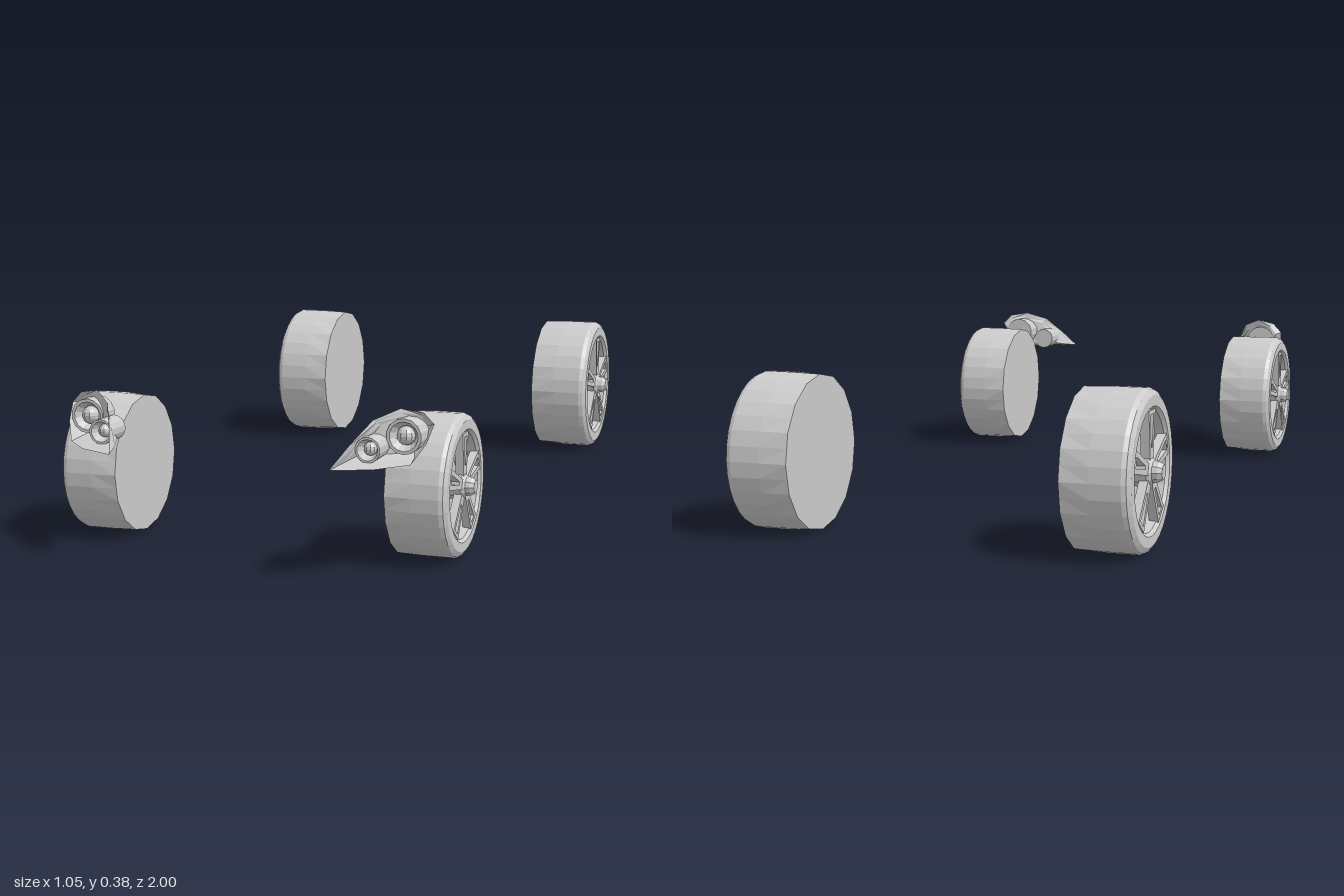
import * as THREE from 'three';

const grey = new THREE.MeshStandardMaterial({ color: 0xcccccc, flatShading: true });
const greyThin = new THREE.MeshStandardMaterial({ color: 0xcccccc, flatShading: true, side: THREE.DoubleSide });

function add(parent, name, geometry, material = grey) {
  const mesh = new THREE.Mesh(geometry, material);
  mesh.name = name;
  parent.add(mesh);
  return mesh;
}

// Lathe of [radius, distance] pairs
const lathe = (pairs, sides) =>
  new THREE.LatheGeometry(pairs.map(([r, a]) => new THREE.Vector2(r, a)), sides);

// Lathe whose axis runs along +x
const latheX = (pairs, sides) => lathe(pairs, sides).rotateZ(-Math.PI / 2);

// Wheel with its closed inner face at x = 0 and its spoked face towards +x
function makeWheel(name) {
  const wheel = new THREE.Group();
  wheel.name = name;

  // Tyre and rim well; the inner edge has half as many corners as the tread
  const profile = [[0, 0], [0.19, 0], [0.192, 0.07], [0.192, 0.145], [0.187, 0.156], [0.175, 0.164],
    [0.15, 0.164], [0.142, 0.156], [0.138, 0.105], [0, 0.105]];
  const sides = 32;
  const tyre = latheX(profile, sides);
  const pos = tyre.attributes.position;
  const pull = Math.cos(Math.PI / 16);
  for (let i = 1; i <= sides; i += 2) {
    const k = i * profile.length + 1;
    pos.setXYZ(k, pos.getX(k), pos.getY(k) * pull, pos.getZ(k) * pull);
  }
  add(wheel, 'tyre', tyre);

  // Brake disc and caliper behind the spokes
  add(wheel, 'brakeDisc', latheX([[0.105, 0.1], [0.105, 0.116], [0, 0.116]], 24));
  const arc = new THREE.Shape();
  arc.absarc(0, 0, 0.118, 0, 0.75, false);
  arc.absarc(0, 0, 0.075, 0.75, 0, true);
  add(wheel, 'brakeCaliper',
    new THREE.ExtrudeGeometry(arc, { depth: 0.028, bevelEnabled: false, curveSegments: 5 })
      .rotateY(Math.PI / 2).translate(0.105, 0, 0));

  // Five split spokes
  const outline = [[-0.013, 0.02], [0.013, 0.02], [0.027, 0.142], [-0.027, 0.142]];
  const slot = [[-0.004, 0.055], [-0.013, 0.132], [0.013, 0.132], [0.004, 0.055]];
  const toPoints = list => list.map(([x, y]) => new THREE.Vector2(x, y));
  const shape = new THREE.Shape(toPoints(outline));
  shape.holes.push(new THREE.Path(toPoints(slot)));
  const spoke = new THREE.ExtrudeGeometry(shape, { depth: 0.022, bevelEnabled: false })
    .rotateY(Math.PI / 2).translate(0.14, 0, 0);
  for (let i = 0; i < 5; i++) {
    add(wheel, 'spoke', spoke).rotation.x = (i * 2 * Math.PI) / 5;
  }

  // Hub and cap
  add(wheel, 'hub', latheX([[0.036, 0.105], [0.036, 0.158], [0.026, 0.168], [0.024, 0.18],
    [0.018, 0.191], [0, 0.191]], 10));
  return wheel;
}

// Round lamp facing +z: housing, reflector cup and bulb
function makeLamp(name, radius, length) {
  const lamp = new THREE.Group();
  lamp.name = name;
  add(lamp, 'lampHousing', lathe([[0, 0], [radius, 0], [radius, length], [radius * 0.82, length],
    [radius * 0.55, length * 0.65], [0, length * 0.6]], 14).rotateX(Math.PI / 2));
  add(lamp, 'bulb', new THREE.SphereGeometry(radius * 0.52, 10, 8)).position.z = length * 0.68;
  return lamp;
}

// Swept teardrop headlight for the model's left side
function makeHeadlight(name) {
  const light = new THREE.Group();
  light.name = name;

  // Open bowl: rim loop, then loops that shrink back to a slanted rear wall
  const rim = [[0.27, 0.267, 0.995], [0.36, 0.266, 0.95], [0.425, 0.268, 0.885], [0.45, 0.31, 0.845],
    [0.458, 0.35, 0.81], [0.433, 0.376, 0.812], [0.383, 0.385, 0.825], [0.332, 0.363, 0.872],
    [0.298, 0.315, 0.935]];
  const n = rim.length;
  const verts = [];
  for (const [shrink, back] of [[0, 0], [0.14, 0.65], [0.3, 1], [1, 1]]) {
    for (const [x, y, z] of rim) {
      const px = x + (0.375 - x) * shrink;
      const py = y + (0.318 - y) * shrink;
      const wall = 0.815 + (0.4 - px) * 0.75;
      verts.push(px, py, z + (wall - z) * back);
    }
  }
  const index = [];
  for (let r = 0; r < 3; r++) {
    for (let i = 0; i < n; i++) {
      const a = r * n + i, b = r * n + ((i + 1) % n);
      index.push(a, b, a + n, b, b + n, a + n);
    }
  }
  const bowl = new THREE.BufferGeometry();
  bowl.setAttribute('position', new THREE.Float32BufferAttribute(verts, 3));
  bowl.setIndex(index);
  bowl.computeVertexNormals();
  add(light, 'headlightShell', bowl, greyThin);

  const large = makeLamp('largeLamp', 0.042, 0.062);
  large.position.set(0.398, 0.325, 0.79);
  const small = makeLamp('smallLamp', 0.03, 0.07);
  small.position.set(0.332, 0.301, 0.842);
  light.add(large, small);
  return light;
}

export function createModel() {
  const model = new THREE.Group();
  model.name = 'wheelsAndHeadlights';

  for (const [side, label] of [[1, 'left'], [-1, 'right']]) {
    const half = new THREE.Group();
    half.name = label + 'Side';
    half.scale.x = side;

    const rear = makeWheel(label + 'RearWheel');
    rear.position.set(0.333, 0.192, -0.808);
    const front = makeWheel(label + 'FrontWheel');
    front.scale.setScalar(0.9);
    front.position.set(0.342, 0.177, 0.655);
    half.add(rear, front, makeHeadlight(label + 'Headlight'));
    model.add(half);
  }
  return model;
}
